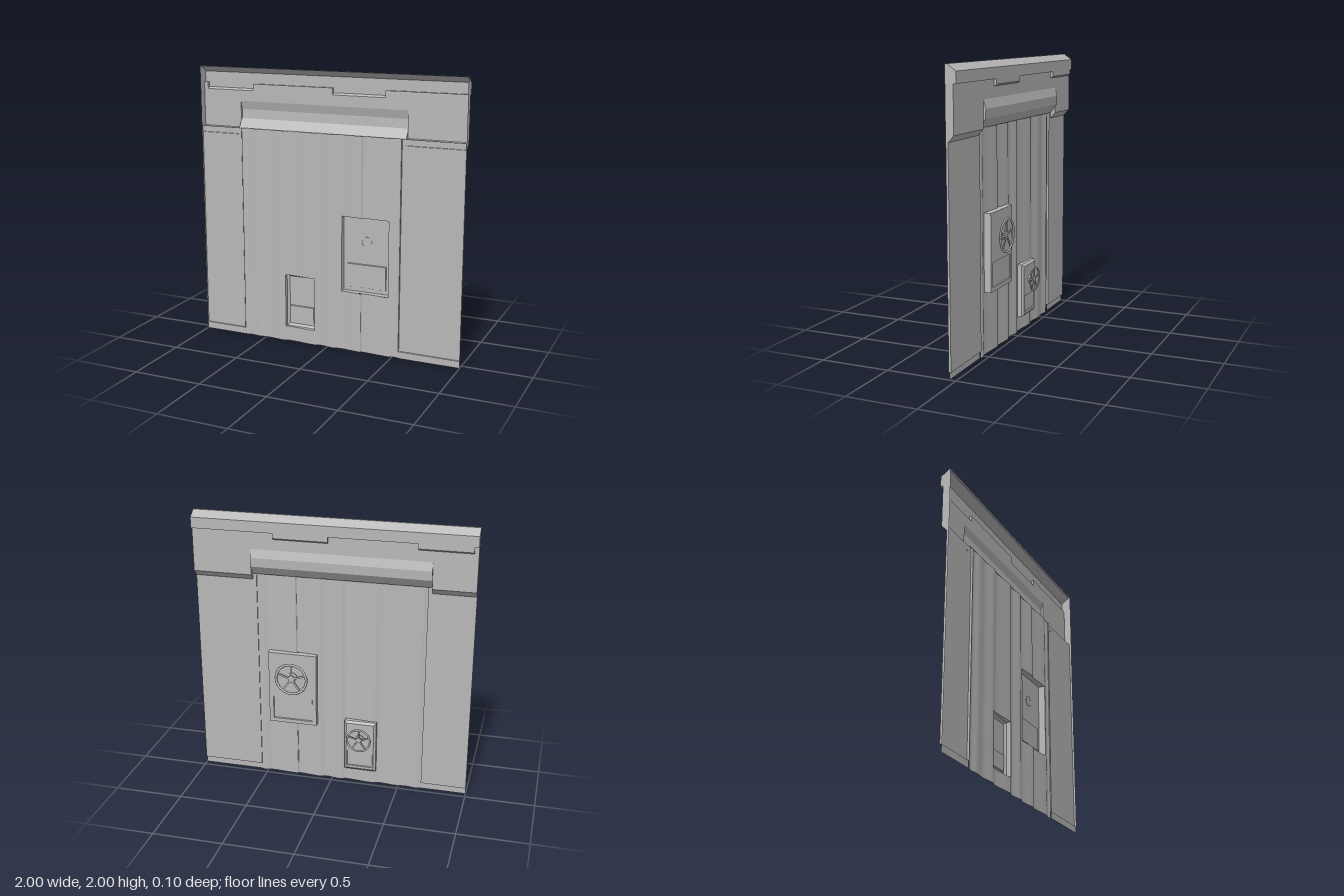
import * as THREE from 'three';

const metal = new THREE.MeshStandardMaterial({ color: 0xb8b8b8, side: THREE.DoubleSide });
metal.name = 'grey metal';

function add(parent, geometry, name) {
  const mesh = new THREE.Mesh(geometry, metal);
  mesh.name = name;
  parent.add(mesh);
  return mesh;
}

// Flat-faced geometry from a list of convex polygons of [x, y, z] points
function faces(polygons) {
  const pos = [];
  for (const p of polygons)
    for (let i = 1; i < p.length - 1; i++) pos.push(...p[0], ...p[i], ...p[i + 1]);
  const g = new THREE.BufferGeometry();
  g.setAttribute('position', new THREE.Float32BufferAttribute(pos, 3));
  g.computeVertexNormals();
  return g;
}

// Strip following a [z, y] profile between two x positions
function ribbon(profile, x0, x1) {
  const out = [];
  for (let i = 0; i < profile.length - 1; i++) {
    const [za, ya] = profile[i], [zb, yb] = profile[i + 1];
    out.push([[x0, ya, za], [x1, ya, za], [x1, yb, zb], [x0, yb, zb]]);
  }
  return out;
}
const cap = (profile, x) => profile.map(([z, y]) => [x, y, z]);

// Corrugation: smooth curve through crests and troughs
const KEYS = [[-0.67, 0.047], [-0.63, 0.037], [-0.56, 0.045], [-0.47, 0.038], [-0.36, 0.048],
  [-0.30, 0.035], [-0.10, 0.048], [-0.06, 0.035], [0.05, 0.048], [0.10, 0.035], [0.262, 0.047],
  [0.268, 0.037], [0.47, 0.047], [0.52, 0.035], [0.56, 0.042]];
function wave(x) {
  let i = 0;
  while (i < KEYS.length - 2 && x > KEYS[i + 1][0]) i++;
  const [xa, za] = KEYS[i], [xb, zb] = KEYS[i + 1];
  return za + (zb - za) * THREE.MathUtils.smoothstep(x, xa, xb);
}
function sheet(x0, x1, y0, y1) {
  const n = Math.max(4, Math.round((x1 - x0) / 0.006));
  const g = new THREE.PlaneGeometry(x1 - x0, y1 - y0, n, 1);
  g.translate((x0 + x1) / 2, (y0 + y1) / 2, 0);
  const p = g.attributes.position, e = 0.002, v = new THREE.Vector3();
  for (let i = 0; i < p.count; i++) {
    const x = p.getX(i);
    p.setZ(i, wave(x));
    v.set(-(wave(x + e) - wave(x - e)) / (2 * e), 0, 1).normalize();
    g.attributes.normal.setXYZ(i, v.x, v.y, v.z);
  }
  return g;
}

// Rectangular loop of points; z may depend on x
function rectLoop(x0, x1, y0, y1, z) {
  const corners = [[x0, y0], [x1, y0], [x1, y1], [x0, y1]], n = 16, out = [];
  corners.forEach(([ax, ay], k) => {
    const [bx, by] = corners[(k + 1) % 4];
    for (let i = 0; i < n; i++) {
      const x = ax + (bx - ax) * i / n, y = ay + (by - ay) * i / n;
      out.push([x, y, typeof z === 'function' ? z(x) : z]);
    }
  });
  return out;
}

// Hollow hatch box with a sunken plate, open on the inside
function hatch([x0, x1, y0, y1], [bx, by], [hx0, hx1, hy0, hy1], z) {
  const loops = [
    rectLoop(x0, x1, y0, y1, wave),
    rectLoop(x0, x1, y0, y1, z + 0.015),
    rectLoop(x0 + bx, x1 - bx, y0 + by, y1 - by, z),
    rectLoop(hx0, hx1, hy0, hy1, z),
    rectLoop(hx0 + 0.003, hx1 - 0.003, hy0 + 0.003, hy1 - 0.003, z + 0.008),
  ];
  const out = [];
  for (let k = 0; k < loops.length - 1; k++)
    loops[k].forEach((p, i) => {
      const j = (i + 1) % loops[k].length;
      out.push([p, loops[k][j], loops[k + 1][j], loops[k + 1][i]]);
    });
  out.push(loops[4]);
  return faces(out);
}

// Hand wheel with hub and five spokes, axis along z
function handWheel(x, y, r) {
  const g = new THREE.Group();
  g.name = 'handWheel';
  const rim = add(g, new THREE.TorusGeometry(r * 0.92, r * 0.08, 8, 40), 'wheelRim');
  rim.scale.z = 0.7;
  rim.position.z = -0.042;
  const hubProfile = [[0.3, -0.001], [0.3, -0.012], [0.16, -0.016], [0.16, -0.028], [0.22, -0.032], [0.2, -0.04], [0, -0.042]];
  // Lathe axis turned so profile heights run along z
  const hub = new THREE.LatheGeometry(hubProfile.map(([a, h]) => new THREE.Vector2(a * r, h)), 20);
  add(g, hub.toNonIndexed().rotateX(Math.PI / 2), 'wheelHub').geometry.computeVertexNormals();
  for (let i = 0; i < 5; i++) {
    const spoke = new THREE.BoxGeometry(r * 0.11, r * 0.78, 0.006);
    spoke.translate(0, r * 0.52, -0.038).rotateZ(i * Math.PI * 2 / 5);
    add(g, spoke, 'wheelSpoke');
  }
  g.position.set(x, y, 0);
  return g;
}

export function createModel() {
  const model = new THREE.Group();
  model.name = 'wallPanel';

  // Header: lip with two tabs, and an awning bulge over the middle
  const tabs = [[-0.97, -0.6], [0.02, 0.41]], awning = [-0.7, 0.575];
  const inside = (x, [a, b]) => x > a && x < b;
  const lip = [[0.05, 2], [0.035, 2], [-0.025, 1.957]];
  const lipEnd = [[-0.025, 1.88], [-0.006, 1.88]];
  const tabEnd = [[-0.025, 1.845], [-0.006, 1.832]];
  const plain = [[-0.006, 1.565], [0.035, 1.52]];
  const bulge = [[-0.006, 1.755], [-0.023, 1.695], [-0.019, 1.63], [0.03, 1.565], [0.042, 1.565]];
  const breaks = [-1, -0.97, -0.7, -0.6, 0.02, 0.41, 0.575, 1];
  const header = [];
  for (let i = 0; i < breaks.length - 1; i++) {
    const m = (breaks[i] + breaks[i + 1]) / 2;
    const end = tabs.some(t => inside(m, t)) ? tabEnd : lipEnd;
    header.push(...ribbon([...lip, ...end, ...(inside(m, awning) ? bulge : plain)], breaks[i], breaks[i + 1]));
  }
  for (const x of tabs.flat()) header.push(cap([...lipEnd, tabEnd[1], tabEnd[0]], x));
  for (const x of awning) {
    header.push(cap([[-0.006, 1.755], [-0.023, 1.695], [-0.019, 1.63], [-0.006, 1.613]], x));
    header.push(cap([[-0.006, 1.613], [0.03, 1.565], [0.035, 1.52], [-0.006, 1.565]], x));
  }
  for (const x of [-1, 1]) {
    header.push(cap([...lip, lipEnd[0], [0.05, 1.88]], x));
    header.push(cap([[0.05, 1.88], lipEnd[1], ...plain, [0.05, 1.52]], x));
  }
  add(model, faces(header), 'header');

  // Flat side panels with a stepped foot
  for (const [x0, x1] of [[-1, -0.67], [0.55, 1]]) {
    const polys = ribbon([[0.033, 1.565], [0.033, 0.05], [0.045, 0.05], [0.045, 0]], x0, x1);
    for (const x of [x0, x1])
      polys.push(cap([[0.033, 1.565], [0.033, 0.05], [0.049, 0.05], [0.049, 1.565]], x));
    add(model, faces(polys), 'sidePanel');
  }

  // Corrugated middle, left open behind the two hatches
  const small = [-0.333, -0.098, 0.11, 0.505], large = [0.11, 0.467, 0.44, 0.99];
  const top = 1.567;
  for (const [x0, x1] of [[-0.67, small[0]], [small[1], large[0]], [large[1], 0.55]])
    add(model, sheet(x0, x1, 0, top), 'corrugatedSheet');
  for (const [x0, x1, y0, y1] of [small, large]) {
    add(model, sheet(x0, x1, 0, y0), 'corrugatedSheet');
    add(model, sheet(x0, x1, y1, top), 'corrugatedSheet');
  }

  // Hatches and their wheels
  add(model, hatch(large, [0.001, 0.001], [0.14, 0.435, 0.47, 0.645], -0.003), 'largeHatch');
  add(model, hatch(small, [0.016, 0.016], [-0.312, -0.12, 0.145, 0.267], 0), 'smallHatch');
  model.add(handWheel(0.287, 0.81, 0.123), handWheel(-0.215, 0.378, 0.092));
  return model;
}
